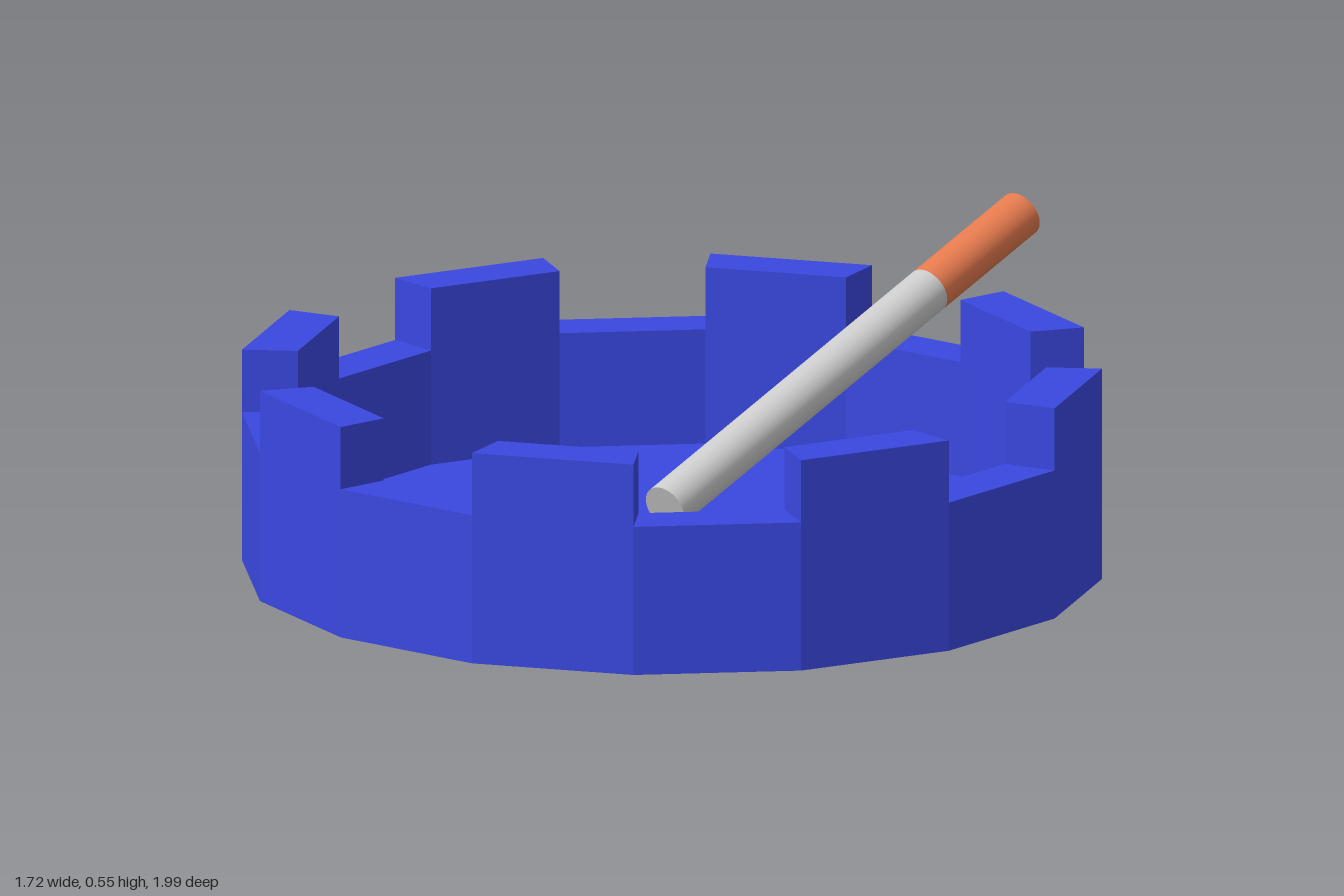
import * as THREE from 'three';

const SIDES = 16, R_OUT = 0.862, R_IN = 0.75;
const FLOOR = 0.07, LOW = 0.305, HIGH = 0.433, CENTRE_Z = 0.132;

const blue = new THREE.MeshStandardMaterial({ color: 0x3a48e0, flatShading: true });
const grey = new THREE.MeshStandardMaterial({ color: 0xcccccc });
const orange = new THREE.MeshStandardMaterial({ color: 0xe57a4e });

function mesh(name, geometry, material) {
  const m = new THREE.Mesh(geometry, material);
  m.name = name;
  return m;
}

// Point on the ring at corner k, angle measured from +z towards +x
function corner(k, r, y) {
  const a = (k / SIDES) * Math.PI * 2;
  return [Math.sin(a) * r, y, Math.cos(a) * r];
}

// Wall ring whose segments alternate between rest notches and raised blocks
function wallGeometry() {
  const pos = [];
  const quad = (a, b, c, d) => pos.push(...a, ...b, ...c, ...a, ...c, ...d);
  for (let k = 0; k < SIDES; k++) {
    const raised = k % 2 === 1;
    const top = raised ? HIGH : LOW;
    const n = k + 1;
    // outer side, inner side, top
    quad(corner(k, R_OUT, 0), corner(n, R_OUT, 0), corner(n, R_OUT, top), corner(k, R_OUT, top));
    quad(corner(n, R_IN, FLOOR), corner(k, R_IN, FLOOR), corner(k, R_IN, top), corner(n, R_IN, top));
    quad(corner(k, R_OUT, top), corner(n, R_OUT, top), corner(n, R_IN, top), corner(k, R_IN, top));
    // radial cheeks of the raised block
    if (raised) {
      quad(corner(k, R_IN, LOW), corner(k, R_OUT, LOW), corner(k, R_OUT, HIGH), corner(k, R_IN, HIGH));
      quad(corner(n, R_OUT, LOW), corner(n, R_IN, LOW), corner(n, R_IN, HIGH), corner(n, R_OUT, HIGH));
    }
  }
  const g = new THREE.BufferGeometry();
  g.setAttribute('position', new THREE.Float32BufferAttribute(pos, 3));
  g.computeVertexNormals();
  return g;
}

function createTray() {
  const tray = new THREE.Group();
  tray.name = 'ashtray';
  tray.add(mesh('notchedWall', wallGeometry(), blue));

  const floor = mesh('trayFloor', new THREE.CircleGeometry(R_IN, SIDES).rotateX(-Math.PI / 2), blue);
  floor.position.y = FLOOR;
  const base = mesh('trayBase', new THREE.CircleGeometry(R_OUT, SIDES).rotateX(Math.PI / 2), blue);
  tray.add(floor, base);
  tray.position.z = CENTRE_Z;
  return tray;
}

// Cigarette leaning from the floor over the back rim
function createCigarette() {
  const start = new THREE.Vector3(-0.042, 0.115, 0.115);
  const end = new THREE.Vector3(-0.248, 0.503, -0.982);
  const length = start.distanceTo(end);
  const radius = 0.048, filter = length * 0.26, paper = length - filter;

  const group = new THREE.Group();
  group.name = 'cigarette';
  const tube = (name, len, y, material) => {
    const m = mesh(name, new THREE.CylinderGeometry(radius, radius, len, 32, 1, true), material);
    m.position.y = y;
    group.add(m);
  };
  tube('paperTube', paper, paper / 2, grey);
  tube('filterWrap', filter, paper + filter / 2, orange);

  const tip = mesh('paperEnd', new THREE.CircleGeometry(radius, 32).rotateX(Math.PI / 2), grey);
  const cap = mesh('filterEnd', new THREE.CircleGeometry(radius, 32).rotateX(-Math.PI / 2), grey);
  cap.position.y = length;
  group.add(tip, cap);

  group.position.copy(start);
  const axis = end.clone().sub(start).normalize();
  group.quaternion.setFromUnitVectors(new THREE.Vector3(0, 1, 0), axis);
  return group;
}

export function createModel() {
  const model = new THREE.Group();
  model.name = 'ashtrayWithCigarette';
  model.add(createTray(), createCigarette());
  return model;
}
